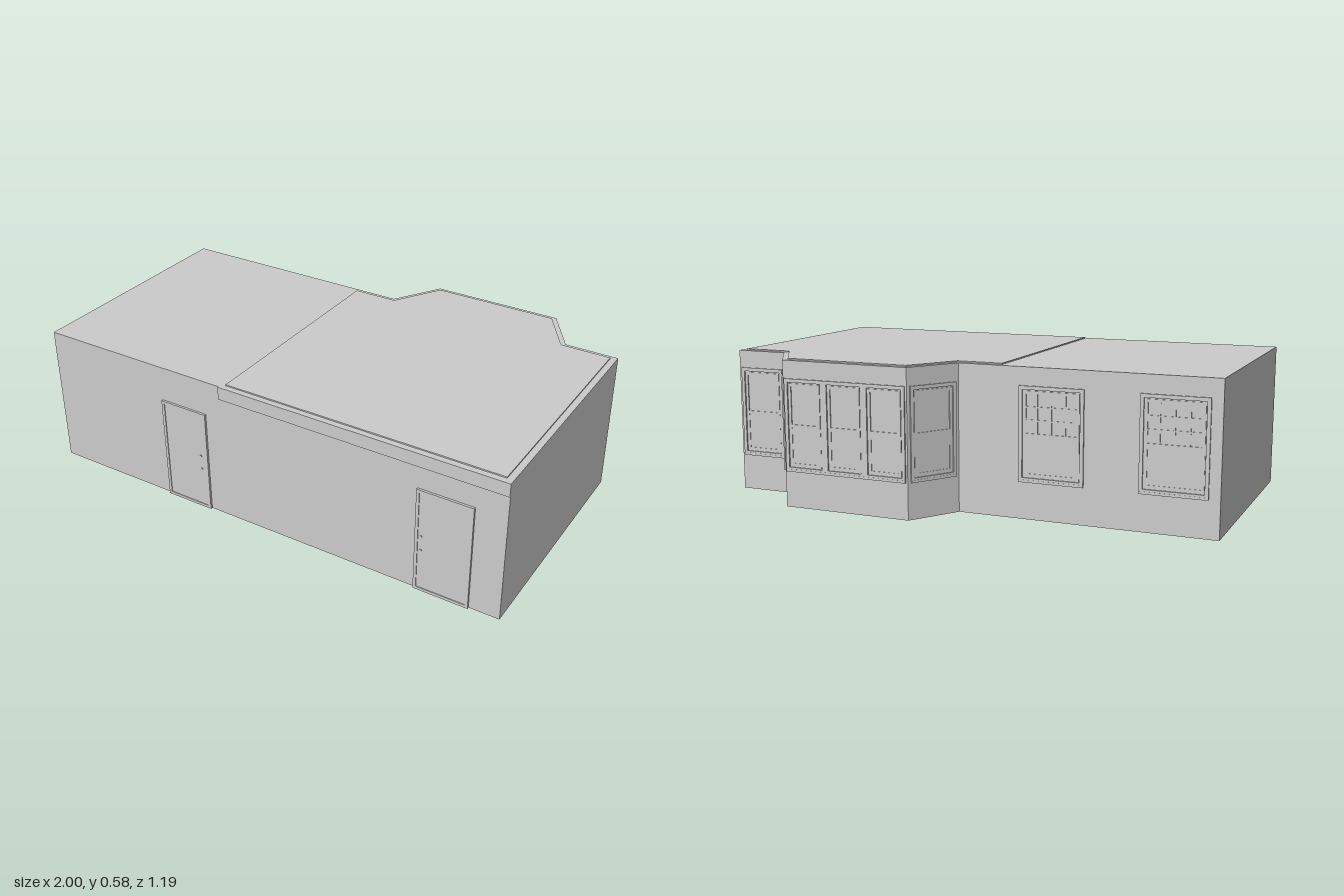
import * as THREE from 'three';

const material = new THREE.MeshStandardMaterial({ color: 0xcccccc, flatShading: true });
const HEIGHT = 0.578, FRONT = 0.584, BACK = -0.395, BAY = -0.587;

// Horizontal slab from [x, z] corners, between two heights
function slab(name, points, bottom, top) {
  const shape = new THREE.Shape(points.map(([x, z]) => new THREE.Vector2(x, -z)));
  const geometry = new THREE.ExtrudeGeometry(shape, { depth: top - bottom, bevelEnabled: false });
  geometry.rotateX(-Math.PI / 2).translate(0, bottom, 0);
  const mesh = new THREE.Mesh(geometry, material);
  mesh.name = name;
  return mesh;
}

// Box spanning x0..x1, y0..y1 and z0..z1
function box(parent, name, x0, x1, y0, y1, z0, z1) {
  const mesh = new THREE.Mesh(new THREE.BoxGeometry(x1 - x0, y1 - y0, z1 - z0), material);
  mesh.position.set((x0 + x1) / 2, (y0 + y1) / 2, (z0 + z1) / 2);
  mesh.name = name;
  parent.add(mesh);
  return mesh;
}

// Rectangular border made with a hole
function border(parent, name, x0, x1, y0, y1, width, depth) {
  const corners = (i) => [[x0 + i, y0 + i], [x1 - i, y0 + i], [x1 - i, y1 - i], [x0 + i, y1 - i]]
    .map(([x, y]) => new THREE.Vector2(x, y));
  const shape = new THREE.Shape(corners(0));
  shape.holes.push(new THREE.Path(corners(width)));
  const mesh = new THREE.Mesh(new THREE.ExtrudeGeometry(shape, { depth, bevelEnabled: false }), material);
  mesh.name = name;
  parent.add(mesh);
}

// Sash windows side by side, centred on the wall that runs from a to b
function windowUnit(name, a, b, width, units = 1, grid = false) {
  const group = new THREE.Group();
  group.name = name;
  const y0 = 0.147, y1 = 0.508, middle = 0.33, trim = 0.014;
  const unitWidth = width / units;
  for (let i = 0; i < units; i++) {
    const x0 = -width / 2 + i * unitWidth, x1 = x0 + unitWidth;
    border(group, 'casing', x0, x1, y0, y1, trim, 0.006);
    const l = x0 + trim + 0.003, r = x1 - trim - 0.003;
    border(group, 'lowerSash', l, r, y0 + 0.018, middle, 0.012, 0.002);
    border(group, 'upperSash', l, r, middle - 0.012, y1 - 0.018, 0.012, 0.004);
    if (!grid) continue;
    // Glazing bars: four panes across, three down
    const low = middle, high = y1 - 0.03;
    for (let k = 1; k < 4; k++) {
      const x = l + (r - l) * k / 4;
      box(group, 'glazingBar', x - 0.003, x + 0.003, low, high, 0, 0.003);
    }
    for (let k = 1; k < 3; k++) {
      const y = low + (high - low) * k / 3;
      box(group, 'glazingBar', l, r, y - 0.003, y + 0.003, 0, 0.003);
    }
  }
  box(group, 'sill', -width / 2, width / 2, y0 - 0.004, y0 + 0.006, 0, 0.007);
  group.position.set((a[0] + b[0]) / 2, 0, (a[1] + b[1]) / 2);
  group.rotation.y = Math.atan2(a[1] - b[1], b[0] - a[0]);
  return group;
}

// Door leaf with a thin casing and a handle
function door(name, x0, x1, knobX) {
  const group = new THREE.Group();
  group.name = name;
  border(group, 'doorCasing', x0, x1, 0, 0.435, 0.012, 0.009);
  box(group, 'doorLeaf', x0 + 0.012, x1 - 0.012, 0.005, 0.423, 0, 0.006);
  for (const y of [0.18, 0.24]) box(group, 'doorHandle', knobX - 0.003, knobX + 0.003, y - 0.003, y + 0.003, 0, 0.009);
  group.position.z = FRONT;
  return group;
}

export function createModel() {
  const model = new THREE.Group();
  model.name = 'house';

  // Walls with the bay at the back
  const bay = [[0.785, BACK], [0.665, BAY], [0.13, BAY], [0.01, BACK]];
  model.add(slab('walls', [[-1, FRONT], [1, FRONT], [1, BACK], ...bay, [-1, BACK]], 0, HEIGHT));

  // Raised roof over the bay end, and its front fascia
  model.add(slab('raisedRoof', [[-0.16, 0.565], [0.975, 0.565], [0.975, -0.375],
    [0.773, -0.375], [0.653, -0.567], [0.142, -0.567], [0.022, -0.375], [-0.16, -0.375]], HEIGHT - 0.01, 0.583));
  box(model, 'frontFascia', -0.18, 1, 0.525, HEIGHT, FRONT - 0.01, FRONT + 0.005);

  // Front doors
  model.add(door('leftDoor', 0.66, 0.88, 0.685));
  model.add(door('rightDoor', -0.455, -0.248, -0.28));

  // Bay windows
  model.add(windowUnit('bayFrontWindows', bay[1], bay[2], 0.52, 3));
  model.add(windowUnit('bayLeftWindow', bay[0], bay[1], 0.2));
  model.add(windowUnit('bayRightWindow', bay[2], bay[3], 0.2));

  // Windows in the flat back wall
  model.add(windowUnit('backLeftWindow', [1, BACK], [0.785, BACK], 0.195));
  for (const x of [-0.365, -0.83]) {
    model.add(windowUnit('backGridWindow', [x + 0.13, BACK], [x - 0.13, BACK], 0.255, 1, true));
  }
  return model;
}
